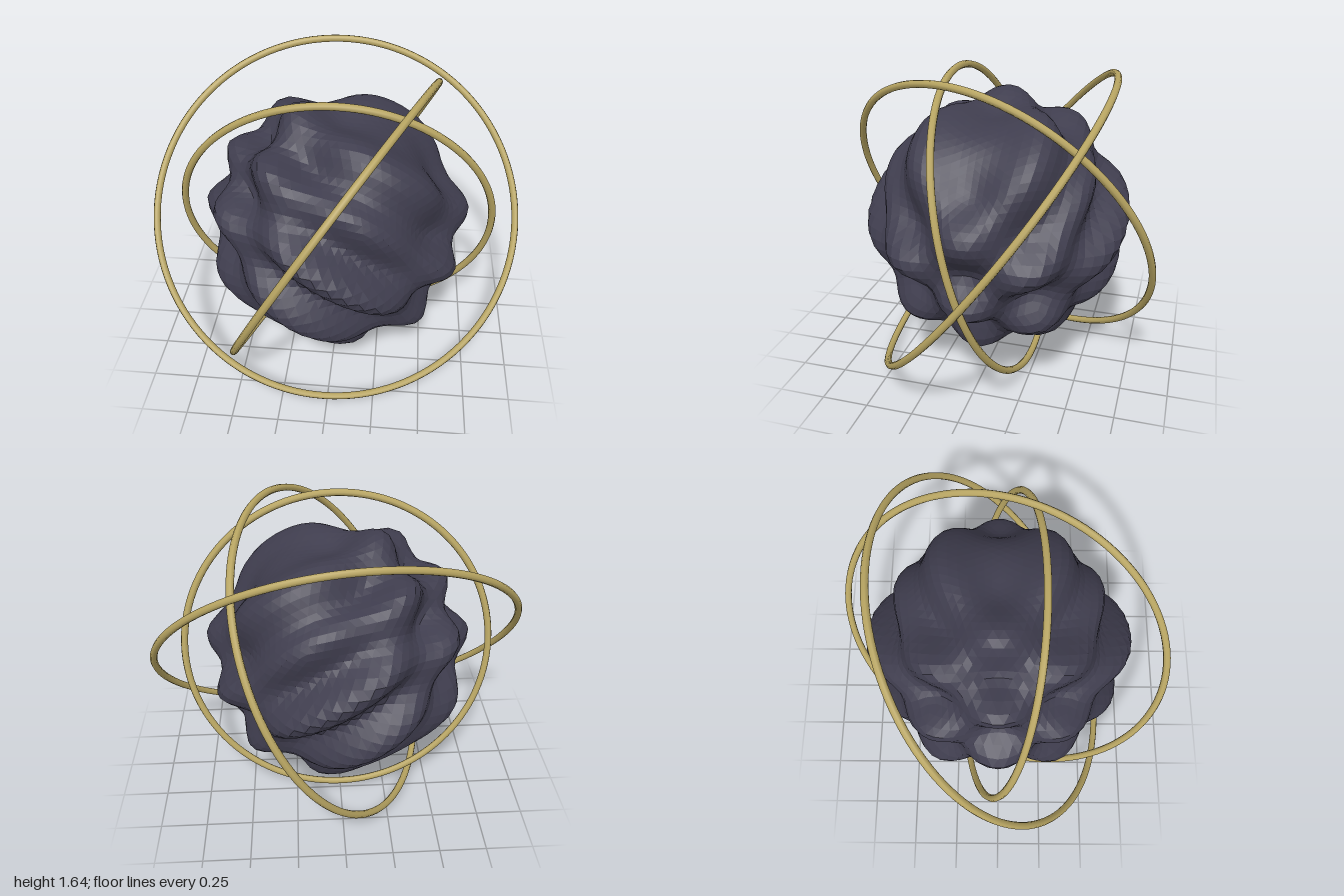
import * as THREE from 'three';

const CENTRE_Y = 0.83;

export function createModel() {
  const model = new THREE.Group();
  model.name = 'ringedOrb';

  const stone = new THREE.MeshStandardMaterial({ color: 0x3f3d4e });
  stone.name = 'dark stone';
  const brass = new THREE.MeshStandardMaterial({ color: 0xb8a562 });
  brass.name = 'brass';

  // Core: a finely faceted ball rippled by crossing waves that fade at the poles
  const coreGeometry = new THREE.IcosahedronGeometry(1, 16);
  const pos = coreGeometry.attributes.position;
  const v = new THREE.Vector3();
  const radius = (p) =>
    0.641 + 0.077 * (1 - 0.3 * p.y ** 4) * Math.sin(12 * p.y) * Math.cos(6.35 * p.z);
  for (let i = 0; i < pos.count; i++) {
    v.fromBufferAttribute(pos, i).normalize();
    v.multiplyScalar(radius(v));
    pos.setXYZ(i, v.x, v.y, v.z);
  }
  coreGeometry.computeVertexNormals(); // unshared corners give flat facets
  const core = new THREE.Mesh(coreGeometry, stone);
  core.name = 'core';
  core.position.y = CENTRE_Y;
  core.rotation.z = -0.54;
  model.add(core);

  // Rings: slim round hoops, each turned to face its own axis
  const addRing = (name, radius, axis) => {
    const ring = new THREE.Mesh(new THREE.TorusGeometry(radius, 0.019, 8, 120), brass);
    ring.name = name;
    ring.position.y = CENTRE_Y;
    ring.quaternion.setFromUnitVectors(new THREE.Vector3(0, 0, 1), new THREE.Vector3(...axis).normalize());
    model.add(ring);
  };
  addRing('innerRing', 0.833, [0.005, -0.262, 0.965]);
  addRing('middleRing', 0.908, [0.825, -0.47, 0.305]);
  addRing('outerRing', 0.983, [0.095, 0.61, 0.785]);

  return model;
}
